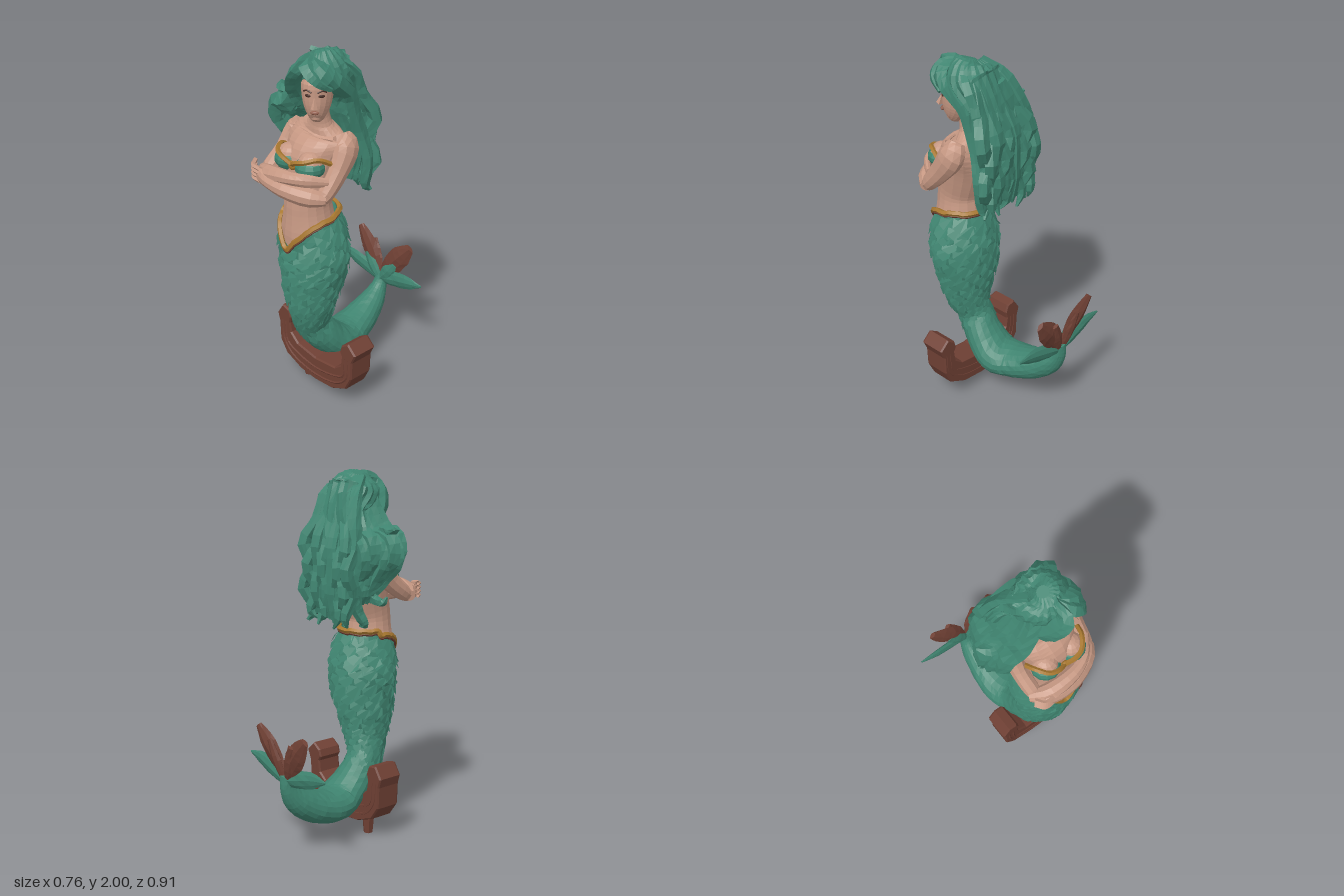
import * as THREE from 'three';
import { mergeGeometries } from 'three/addons/utils/BufferGeometryUtils.js';

const V = (x, y, z) => new THREE.Vector3(x, y, z);
const mat = (name, color) => {
  const m = new THREE.MeshStandardMaterial({ color, flatShading: true, side: THREE.DoubleSide });
  m.name = name;
  return m;
};

// Small seeded random
let seed = 7;
const rnd = () => (seed = (seed * 16807) % 2147483647) / 2147483647;

// Spine of points [x, y, z, sideRadius, depthRadius]; returns a surface point at (t, angle, scale)
function spine(pts, side = V(1, 0, 0)) {
  const c = new THREE.CatmullRomCurve3(pts.map(p => V(p[0], p[1], p[2])), false, 'catmullrom');
  const r = new THREE.CatmullRomCurve3(pts.map(p => V(p[3], p[4] ?? p[3], 0)), false, 'catmullrom');
  return (t, ang, k = 1) => {
    const tan = c.getTangent(t), rad = r.getPoint(t);
    const d = tan.clone().cross(side).normalize();
    const s = d.clone().cross(tan);
    return c.getPoint(t).addScaledVector(s, rad.x * k * Math.cos(ang)).addScaledVector(d, rad.y * k * Math.sin(ang));
  };
}

// Closed skin over a spine; ridge makes lengthwise grooves, rough adds uneven facets
function skin(at, rings, sides, ridge = 0, rough = 0) {
  const pos = [], idx = [];
  for (let i = 0; i <= rings; i++) for (let j = 0; j < sides; j++) {
    const k = 1 + (j % 2 ? -ridge : ridge) + (rnd() - 0.5) * rough;
    pos.push(...at(i / rings, j / sides * Math.PI * 2, k).toArray());
  }
  pos.push(...at(0, 0, 0).toArray(), ...at(1, 0, 0).toArray());
  const c0 = (rings + 1) * sides;
  for (let j = 0; j < sides; j++) {
    const n = (j + 1) % sides, e = rings * sides;
    for (let i = 0; i < rings; i++) {
      const a = i * sides + j, b = i * sides + n;
      idx.push(a, b, b + sides, a, b + sides, a + sides);
    }
    idx.push(c0, n, j, c0 + 1, e + j, e + n);
  }
  const g = new THREE.BufferGeometry();
  g.setAttribute('position', new THREE.Float32BufferAttribute(pos, 3));
  g.setIndex(idx);
  g.computeVertexNormals();
  return g;
}

// Height of the V-shaped belt line at a point
const beltY = p => p.z > 0.2 ? Math.min(1.15, 0.96 + Math.abs(p.x - 0.035) * 1.15) : 1.15;

export function createModel() {
  const root = new THREE.Group();
  root.name = 'mermaidFigurehead';
  const green = mat('seaGreen', 0x3f8470), flesh = mat('skin', 0xc69883), brown = mat('brownWood', 0x6f4034);
  const gold = mat('gold', 0xa87830), dark = mat('darkEye', 0x4a3028), lip = mat('lip', 0x94604f);
  const add = (name, geo, m, parent = root) => {
    const mesh = new THREE.Mesh(geo, m);
    mesh.name = name;
    parent.add(mesh);
    return mesh;
  };
  const ball = (name, x, y, z, sx, sy, sz, m, parent) => {
    const b = add(name, new THREE.SphereGeometry(1, 12, 9), m, parent);
    b.position.set(x, y, z);
    b.scale.set(sx, sy, sz);
    return b;
  };
  const tube = (name, pts, r, m, closed = false, parent = root) =>
    add(name, new THREE.TubeGeometry(new THREE.CatmullRomCurve3(pts, closed), pts.length * 4, r, 5, closed), m, parent);

  // Tail: hips down to the anchor, then curling back and up
  const tailAt = spine([
    [0.04, 1.16, 0.225, 0.135, 0.14], [0.045, 1.0, 0.21, 0.185, 0.168], [0.045, 0.86, 0.2, 0.19, 0.172],
    [0.035, 0.7, 0.21, 0.158, 0.152], [0.025, 0.55, 0.21, 0.122, 0.122], [-0.005, 0.42, 0.18, 0.095, 0.098],
    [0, 0.3, 0.1, 0.115, 0.1], [0, 0.22, 0, 0.135, 0.095], [-0.03, 0.205, -0.1, 0.127, 0.092],
    [-0.045, 0.235, -0.22, 0.105, 0.088], [-0.055, 0.3, -0.33, 0.075, 0.075],
    [-0.06, 0.38, -0.395, 0.045, 0.045], [-0.06, 0.46, -0.415, 0.035, 0.02]]);
  const tail = skin(tailAt, 48, 20, 0, 0.04), tp = tail.attributes.position;
  for (let i = 0; i < tp.count; i++) {
    const p = V(0, 0, 0).fromBufferAttribute(tp, i);
    if (p.z > -0.05) tp.setY(i, Math.min(p.y, beltY(p)));
  }
  add('tail', tail, green);

  // Overlapping, uneven scales in staggered rows
  const scales = [];
  for (let row = 0; row < 19; row++) for (let j = 0; j < 13; j++) {
    const t = row * 0.0235, h = 0.02 + rnd() * 0.006, w = Math.PI / 13 * 1.05;
    const a = (j + (row % 2) / 2) / 13 * Math.PI * 2 + (rnd() - 0.5) * 0.2;
    const lift = 1.04 + rnd() * 0.07;
    const q = [tailAt(t, a - w, 0.99), tailAt(t, a + w, 0.99), tailAt(t + h, a + w * 0.85, lift + 0.02 * rnd()),
      tailAt(t + h * 1.6, a, lift), tailAt(t + h, a - w * 0.85, lift - 0.02 * rnd())];
    if (q[0].y > beltY(q[0]) || q[1].y > beltY(q[1])) continue;
    const g = new THREE.BufferGeometry().setFromPoints(q);
    g.setIndex([0, 1, 2, 0, 2, 3, 0, 3, 4]);
    g.computeVertexNormals();
    scales.push(g);
  }
  add('scales', mergeGeometries(scales), green);

  // Belt following the V line, with a brown lower edge
  const belt = [];
  for (let j = 0; j < 48; j++) {
    let p;
    for (let t = 0; t < 0.3; t += 0.003) {
      p = tailAt(t, j / 48 * Math.PI * 2, 1.04);
      if (p.y <= beltY(p)) break;
    }
    belt.push(p);
  }
  tube('belt', belt, 0.015, gold, true);
  tube('beltEdge', belt.map(p => V(p.x, p.y - 0.017, p.z)), 0.008, brown, true);

  // Tail fin: broad upright lobes with green roots, and slim side lobes
  for (const s of [-1, 1]) {
    const x = d => -0.06 + s * d, z = V(0, 0, 1);
    const lobe = (name, pts, m) => add(name, skin(spine(pts, z), 8, 8, 0.08, 0.15), m);
    lobe('finLobe', [[x(0), 0.42, -0.41, 0.012, 0.015], [x(0.06), 0.52, -0.415, 0.022, 0.05],
      [x(0.13), 0.61, -0.425, 0.025, 0.06], [x(0.2), 0.69, -0.435, 0.012, 0.025]], brown);
    lobe('finLobeInner', [[x(0.01), 0.42, -0.41, 0.01, 0.015], [x(0.05), 0.53, -0.43, 0.018, 0.035],
      [x(0.09), 0.64, -0.445, 0.01, 0.018]], brown);
    lobe('finRoot', [[x(0), 0.42, -0.4, 0.015, 0.02], [x(0.06), 0.49, -0.398, 0.018, 0.04],
      [x(0.11), 0.56, -0.4, 0.006, 0.02]], green);
    lobe('sideFin', [[x(0), 0.43, -0.405, 0.02, 0.03], [x(0.1), 0.46, -0.405, 0.018, 0.045],
      [x(0.22), 0.49, -0.4, 0.014, 0.038], [x(0.32), 0.505, -0.405, 0.003, 0.006]], green);
  }

  // Anchor cradle
  const outline = [[-0.25, 0.37], [-0.235, 0.32], [-0.23, 0.2], [-0.18, 0.13], [-0.06, 0.085], [0.06, 0.075],
    [0.2, 0.09], [0.3, 0.14], [0.34, 0.22], [0.345, 0.33], [0.37, 0.385], [0.32, 0.43], [0.275, 0.4], [0.265, 0.365],
    [0.28, 0.34], [0.27, 0.27], [0.22, 0.23], [0.06, 0.21], [-0.09, 0.23], [-0.15, 0.28], [-0.16, 0.34],
    [-0.15, 0.38], [-0.165, 0.42], [-0.21, 0.43]];
  const anchor = new THREE.ExtrudeGeometry(new THREE.Shape(outline.map(p => new THREE.Vector2(...p))),
    { depth: 0.13, bevelThickness: 0.01, bevelSize: 0.006, bevelSegments: 1 });
  add('anchor', anchor.translate(0, 0, 0.08), brown);
  for (const z of [0.076, 0.214]) for (const k of [0, 0.045]) {
    tube('anchorRail', [V(-0.215 + k * 0.6, 0.34, z), V(-0.2 + k * 0.6, 0.22, z), V(-0.13, 0.145 + k, z), V(0.06, 0.11 + k, z),
      V(0.24, 0.145 + k, z), V(0.315 - k * 0.6, 0.22, z), V(0.33 - k * 0.6, 0.34, z)], 0.011, brown);
  }
  const peg = add('peg', new THREE.CylinderGeometry(0.036, 0.026, 0.11, 6), brown);
  peg.position.set(-0.082, 0.056, 0.14);

  // Torso and neck
  add('torso', skin(spine([[0.045, 0.93, 0.215, 0.16, 0.155], [0.04, 1.05, 0.228, 0.152, 0.148],
    [0.04, 1.14, 0.235, 0.127, 0.132], [0.04, 1.22, 0.235, 0.118, 0.126], [0.04, 1.32, 0.21, 0.13, 0.135],
    [0.038, 1.42, 0.185, 0.15, 0.145], [0.035, 1.5, 0.155, 0.18, 0.125], [0.035, 1.56, 0.14, 0.165, 0.085],
    [0.042, 1.6, 0.148, 0.08, 0.058], [0.052, 1.65, 0.158, 0.046, 0.048], [0.06, 1.74, 0.175, 0.044, 0.05]]), 30, 18), flesh);
  tube('collarbone', [V(-0.11, 1.56, 0.19), V(0.0, 1.555, 0.22), V(0.04, 1.54, 0.232), V(0.09, 1.555, 0.22), V(0.18, 1.56, 0.19)], 0.008, flesh);

  // Bust and top with gold trim
  for (const s of [-1, 1]) {
    const x = 0.04 + s * 0.078;
    ball('bust', x, 1.445, 0.28, 0.068, 0.062, 0.07, flesh);
    ball('topCup', x, 1.425, 0.288, 0.079, 0.058, 0.076, green);
    tube('topTrim', [V(0.04, 1.43, 0.34), V(x - s * 0.03, 1.458, 0.355), V(x + s * 0.02, 1.473, 0.344),
      V(x + s * 0.065, 1.485, 0.29), V(x + s * 0.09, 1.45, 0.22)], 0.013, gold);
  }
  ball('topClasp', 0.04, 1.425, 0.338, 0.026, 0.024, 0.015, gold);

  // Folded arms
  const limb = (name, pts, side) => add(name, skin(spine(pts, side), 12, 10), flesh);
  limb('leftUpperArm', [[0.165, 1.57, 0.125, 0.045], [0.205, 1.51, 0.125, 0.056, 0.075], [0.22, 1.41, 0.19, 0.045, 0.06],
    [0.22, 1.31, 0.28, 0.042, 0.045], [0.21, 1.28, 0.32, 0.025]]);
  limb('leftForearm', [[0.24, 1.29, 0.29, 0.03], [0.17, 1.3, 0.345, 0.052], [0.06, 1.32, 0.4, 0.047],
    [-0.04, 1.335, 0.42, 0.036], [-0.1, 1.345, 0.42, 0.04, 0.026], [-0.14, 1.35, 0.41, 0.03, 0.022]], V(0, 1, 0));
  limb('rightUpperArm', [[-0.1, 1.57, 0.135, 0.045], [-0.142, 1.51, 0.145, 0.056, 0.072], [-0.155, 1.42, 0.22, 0.043, 0.055],
    [-0.15, 1.35, 0.32, 0.042, 0.045], [-0.14, 1.32, 0.37, 0.025]]);
  limb('rightForearm', [[-0.18, 1.335, 0.34, 0.03], [-0.1, 1.35, 0.385, 0.048], [0.01, 1.375, 0.395, 0.042],
    [0.1, 1.385, 0.38, 0.034], [0.17, 1.385, 0.345, 0.036, 0.022], [0.235, 1.375, 0.27, 0.022, 0.014]], V(0, 1, 0));
  for (let i = 0; i < 4; i++) {
    const y = 1.385 - i * 0.022;
    tube('finger', [V(-0.1, y, 0.43), V(-0.15, y + 0.006, 0.43), V(-0.185, y + 0.012, 0.39)], 0.013, flesh);
  }

  // Head, turned to her left
  const head = new THREE.Group();
  head.name = 'head';
  head.position.set(0.068, 1.775, 0.188);
  head.rotation.y = 0.68;
  root.add(head);
  add('face', skin(spine([[0, -0.125, 0.055, 0.02, 0.025], [0, -0.105, 0.042, 0.042, 0.05], [0, -0.06, 0.025, 0.065, 0.075],
    [0, 0, 0.01, 0.078, 0.09], [0, 0.06, 0, 0.08, 0.095], [0, 0.12, -0.01, 0.045, 0.055]]), 14, 16), flesh, head);
  const nose = add('nose', new THREE.ConeGeometry(0.017, 0.065, 4), flesh, head);
  nose.position.set(0, -0.012, 0.103);
  nose.rotation.x = -0.3;
  ball('lips', 0, -0.067, 0.096, 0.022, 0.01, 0.01, lip, head);
  for (const s of [-1, 1]) {
    ball('eye', s * 0.034, 0.018, 0.09, 0.016, 0.008, 0.005, dark, head).rotation.y = s * 0.4;
    tube('eyebrow', [V(s * 0.014, 0.036, 0.1), V(s * 0.036, 0.046, 0.093), V(s * 0.056, 0.037, 0.078)], 0.004, dark, false, head);
  }

  // Hair: ridged main mass, then locks laid over it
  add('hairMass', skin(spine([[0.035, 1.98, 0.15, 0.03, 0.03], [0.045, 1.95, 0.15, 0.1, 0.1], [0.045, 1.88, 0.13, 0.142, 0.135],
    [0.025, 1.78, 0.04, 0.145, 0.08], [-0.015, 1.65, 0.005, 0.185, 0.075], [-0.01, 1.5, -0.03, 0.18, 0.06],
    [0, 1.36, -0.05, 0.15, 0.05], [0, 1.24, -0.045, 0.1, 0.03]]), 24, 36, 0.035, 0.06), green);
  const lock = (pts, side, n = 14) => add('hairLock', skin(spine(pts, side), n, 10, 0.1, 0.12), green);
  // Wavy locks down the back
  for (let i = 0; i < 9; i++) {
    const x = -0.17 + i * 0.043, w = rnd(), c = 0.025 * Math.sin(i * 2.1), e = 0.018 * Math.cos(i * 2.7);
    lock([[x * 0.3 + 0.035, 1.96, 0.13, 0.03, 0.015], [x * 0.7 + 0.035, 1.88, 0.035, 0.042, 0.022],
      [x * 0.9 + 0.015 + c, 1.75, -0.02, 0.042, 0.028], [x - c, 1.62, -0.065 + e, 0.042, 0.03],
      [x + c, 1.5, -0.08 - e, 0.04, 0.03], [x - c, 1.38, -0.075 + e, 0.036, 0.028],
      [x * 0.9 + c, 1.27, -0.07 - e, 0.028, 0.022], [x * 0.9 - c, 1.24 - w * 0.05, -0.055 - w * 0.03, 0.006, 0.006]], V(1, 0, 0), 18);
  }
  // Fringe parted over the forehead
  lock([[0.05, 1.95, 0.19, 0.03, 0.02], [0.13, 1.93, 0.24, 0.045, 0.03], [0.18, 1.87, 0.19, 0.045, 0.03],
    [0.175, 1.77, 0.075, 0.035, 0.025], [0.165, 1.66, 0.035, 0.035, 0.025], [0.165, 1.52, -0.015, 0.035, 0.03],
    [0.185, 1.38, -0.045, 0.03, 0.03], [0.165, 1.25, -0.045, 0.03, 0.022], [0.17, 1.2, -0.075, 0.006, 0.006]], V(0, 0, 1), 22);
  lock([[0.05, 1.955, 0.19, 0.03, 0.025], [0.1, 1.93, 0.275, 0.045, 0.03], [0.155, 1.885, 0.275, 0.035, 0.025],
    [0.19, 1.83, 0.21, 0.012, 0.012]], V(0, 0, 1));
  lock([[0.06, 1.95, 0.19, 0.04, 0.025], [0.055, 1.92, 0.29, 0.05, 0.03], [0.01, 1.86, 0.285, 0.055, 0.03],
    [-0.03, 1.77, 0.225, 0.055, 0.035], [-0.04, 1.69, 0.17, 0.05, 0.04], [-0.11, 1.63, 0.14, 0.045, 0.04],
    [-0.2, 1.58, 0.13, 0.02, 0.02]], V(0, 0, 1), 20);
  // Locks blown out over the right shoulder, the middle ones reaching furthest
  for (let i = 0; i < 6; i++) {
    const z = 0.21 - i * 0.045, r = 1 - 0.1 * Math.abs(i - 2), o = (i % 2) * 0.03;
    lock([[-0.02, 1.88, z * 0.7 + 0.03, 0.04, 0.035], [-0.06, 1.77, z * 0.9 + 0.01, 0.05, 0.045], [-0.13, 1.675 - o * 0.5, z, 0.05, 0.05],
      [-0.05 - 0.19 * r, 1.66 - o, z, 0.045, 0.05], [-0.05 - 0.23 * r, 1.58 - o, z * 0.95, 0.045, 0.05],
      [-0.05 - 0.19 * r, 1.49 - o, z * 0.7, 0.042, 0.04], [-0.2, 1.42 - o, z * 0.4, 0.03, 0.03],
      [-0.19, 1.36 - o, z * 0.3, 0.008, 0.008]], V(0, 0, 1), 18);
  }
  // Inner fill between neck and shoulder, and a flicked wisp
  lock([[-0.03, 1.75, 0.1, 0.07, 0.05], [-0.09, 1.65, 0.08, 0.09, 0.06], [-0.18, 1.58, 0.06, 0.09, 0.06], [-0.2, 1.46, 0.03, 0.05, 0.04]], V(0, 0, 1));
  lock([[-0.2, 1.7, 0.13, 0.04, 0.03], [-0.26, 1.7, 0.13, 0.04, 0.022], [-0.31, 1.715, 0.1, 0.006, 0.006]], V(0, 0, 1), 6);
  // Loose curled ends
  lock([[-0.17, 1.44, 0.02, 0.03], [-0.21, 1.36, 0.05, 0.025], [-0.26, 1.34, 0.07, 0.02], [-0.285, 1.37, 0.08, 0.006]], V(0, 0, 1));
  lock([[-0.15, 1.4, -0.03, 0.035], [-0.15, 1.29, 0, 0.03], [-0.17, 1.22, 0.03, 0.022], [-0.12, 1.2, 0.04, 0.006]], V(0, 0, 1));
  return root;
}
